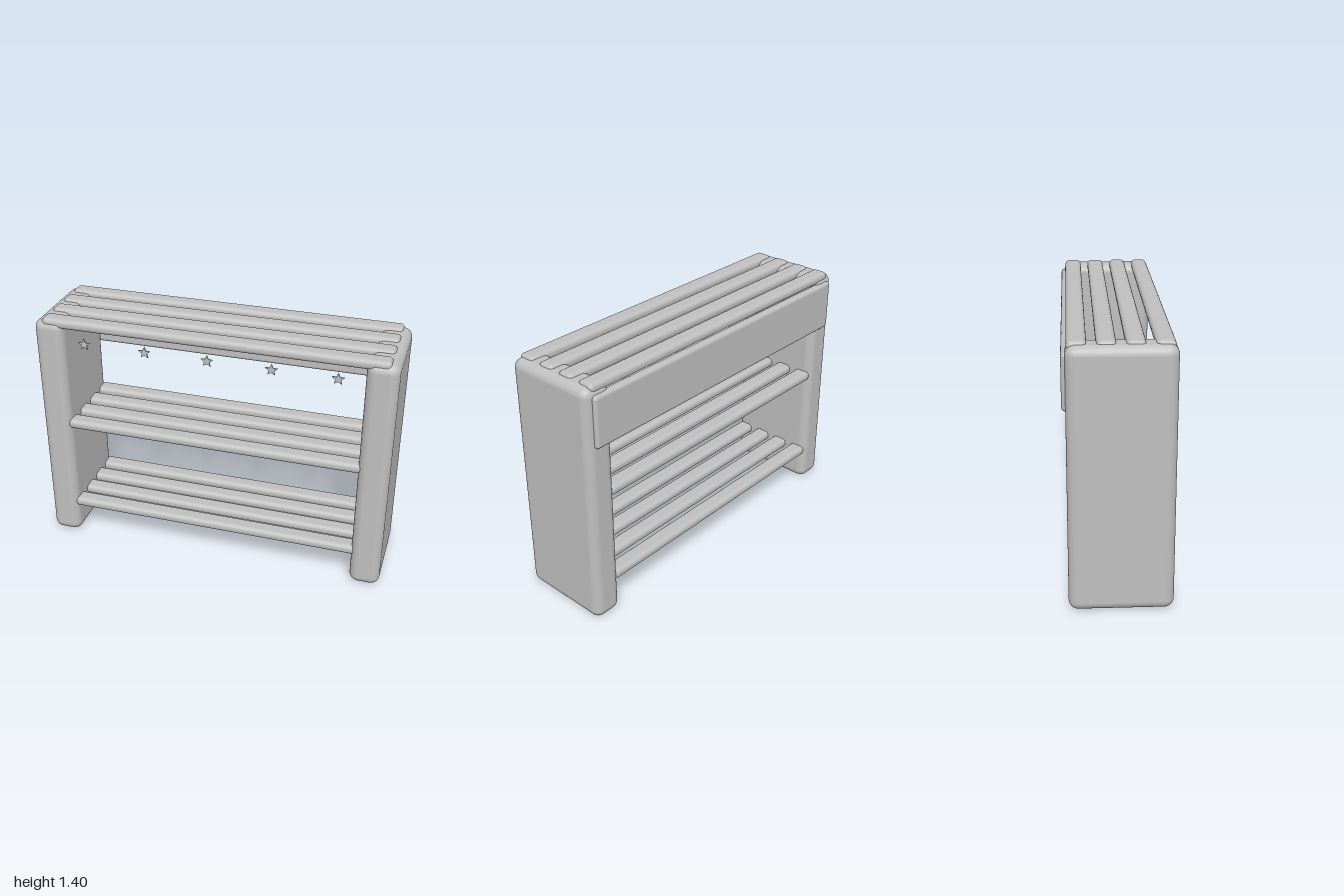
import * as THREE from 'three';
import { RoundedBoxGeometry } from 'three/addons/geometries/RoundedBoxGeometry.js';

export function createModel() {
  const group = new THREE.Group();
  const grey = new THREE.MeshStandardMaterial({ color: 0xbfbfbf });
  grey.name = 'plain grey';

  const add = (name, geometry, x, y, z) => {
    const mesh = new THREE.Mesh(geometry, grey);
    mesh.name = name;
    mesh.position.set(x, y, z);
    group.add(mesh);
  };

  // Two thick side panels
  const panel = new RoundedBoxGeometry(0.17, 1.39, 0.535, 5, 0.05);
  add('leftPanel', panel, 0.915, 0.695, 0.003);
  add('rightPanel', panel, -0.915, 0.695, 0.003);

  // Slats of the top and of the two shelves
  const slatDepths = [-0.21, -0.07, 0.07, 0.21];
  const topSlat = new RoundedBoxGeometry(1.91, 0.056, 0.096, 4, 0.025);
  const shelfSlat = new RoundedBoxGeometry(1.7, 0.056, 0.096, 4, 0.025);
  for (const z of slatDepths) {
    add('topSlat', topSlat, 0, 1.377, z);
    add('upperShelfSlat', shelfSlat, 0, 0.753, z);
    add('lowerShelfSlat', shelfSlat, 0, 0.212, z);
  }

  // Back board
  add('backBoard', new RoundedBoxGeometry(1.91, 0.29, 0.05, 4, 0.02), 0, 1.205, -0.259);

  // Row of small stars along the front
  const star = new THREE.Shape();
  for (let i = 0; i < 10; i++) {
    const a = Math.PI / 2 + (i * Math.PI) / 5;
    const r = i % 2 ? 0.015 : 0.034;
    if (i) star.lineTo(r * Math.cos(a), r * Math.sin(a));
    else star.moveTo(r * Math.cos(a), r * Math.sin(a));
  }
  star.closePath();
  const starGeometry = new THREE.ExtrudeGeometry(star, {
    depth: 0.004, bevelEnabled: true, bevelThickness: 0.002, bevelSize: 0.001, bevelSegments: 1,
  });
  for (let i = -2; i <= 2; i++) add('star', starGeometry, i * 0.348, 1.291, 0.276);

  return group;
}
